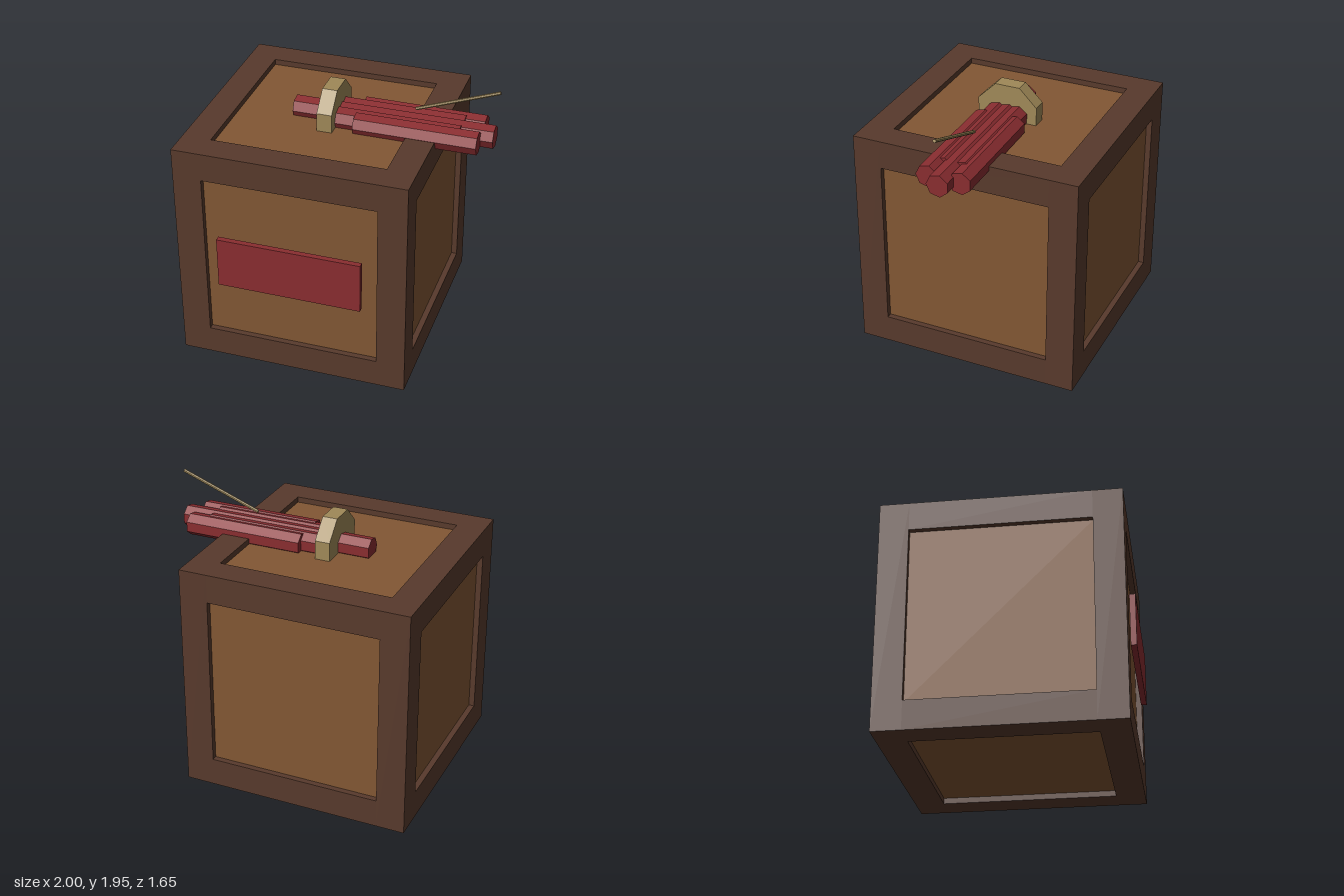
import * as THREE from 'three';

export function createModel() {
  const model = new THREE.Group();
  const material = (name, color) => {
    const m = new THREE.MeshStandardMaterial({ color, flatShading: true });
    m.name = name;
    return m;
  };
  const darkWood = material('dark wood', 0x583a2c);
  const lightWood = material('light wood', 0x825734);
  const red = material('red', 0x8a2d30);
  const tan = material('tan', 0xa08958);

  const add = (parent, name, geometry, mat, x, y, z) => {
    const mesh = new THREE.Mesh(geometry, mat);
    mesh.name = name;
    mesh.position.set(x, y, z);
    parent.add(mesh);
    return mesh;
  };

  // Crate: square beams around a slightly recessed core
  const size = 1.61, beam = 0.2, recess = 0.04;
  const crate = new THREE.Group();
  crate.name = 'crate';
  crate.position.set(-0.197, size / 2, -0.02);
  model.add(crate);

  const core = size - 2 * recess;
  add(crate, 'panels', new THREE.BoxGeometry(core, core, core), lightWood, 0, 0, 0);

  const c = (size - beam) / 2, inner = size - 2 * beam;
  for (const a of [-c, c]) {
    for (const b of [-c, c]) {
      add(crate, 'cornerPost', new THREE.BoxGeometry(beam, size, beam), darkWood, a, 0, b);
      add(crate, 'railX', new THREE.BoxGeometry(inner, beam, beam), darkWood, 0, a, b);
      add(crate, 'railZ', new THREE.BoxGeometry(beam, beam, inner), darkWood, a, b, 0);
    }
  }

  // Plain plate on the front
  add(model, 'frontPlate', new THREE.BoxGeometry(1.005, 0.365, 0.04), red, -0.197, 0.808, 0.805);

  // Bundle of seven-sided sticks lying along x: [start, end, z]
  const bundle = new THREE.Group();
  bundle.name = 'stickBundle';
  bundle.position.set(0, 1.612, -0.02);
  model.add(bundle);
  const sticks = [
    [-0.42, 0.97, 0],
    [-0.095, 0.75, 0.073], [-0.095, 0.75, -0.073],
    [0.04, 0.885, 0.116], [0.04, 0.885, -0.116],
  ];
  for (const [x0, x1, z] of sticks) {
    const g = new THREE.CylinderGeometry(0.08, 0.08, x1 - x0, 7).rotateZ(Math.PI / 2);
    add(bundle, 'stick', g, red, (x0 + x1) / 2, 0, z);
  }

  // Octagonal binding around the bundle
  const band = new THREE.CylinderGeometry(0.232, 0.232, 0.105, 8)
    .rotateY(Math.PI / 8).rotateZ(Math.PI / 2);
  add(bundle, 'binding', band, tan, -0.148, 0, 0);

  // Thin slanted fuse
  const fuse = add(model, 'fuse', new THREE.CylinderGeometry(0.012, 0.012, 0.602, 7), tan, 0.709, 1.838, -0.02);
  fuse.rotation.z = Math.atan2(0.21, 0.565) - Math.PI / 2;

  return model;
}
